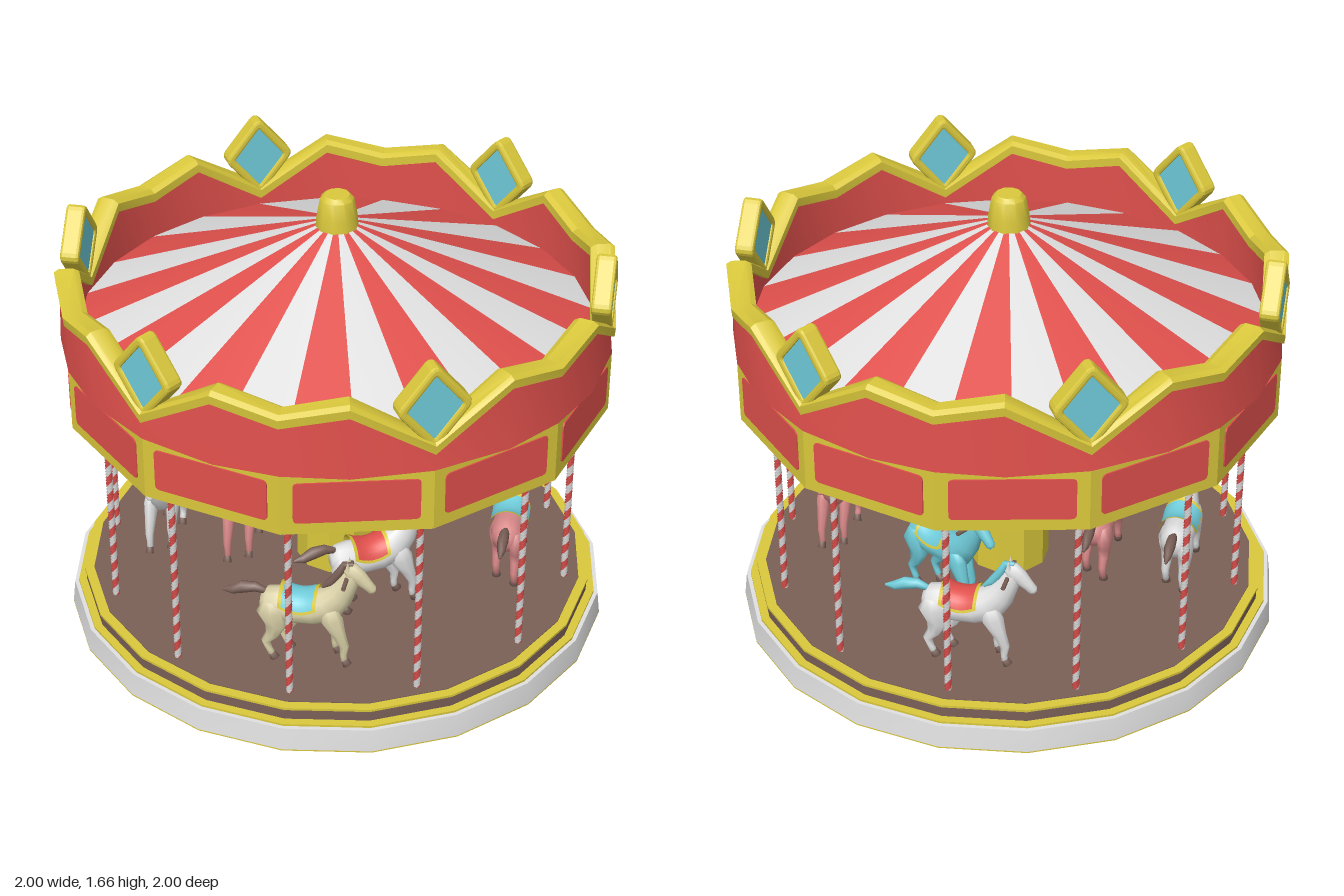
import * as THREE from 'three';
import { toCreasedNormals } from 'three/addons/utils/BufferGeometryUtils.js';

const mat = (name, color, side = THREE.FrontSide) => {
  const m = new THREE.MeshStandardMaterial({ color, side });
  m.name = name;
  return m;
};

export function createModel() {
  const D = THREE.DoubleSide;
  const red = mat('red', 0xe0504c, D), white = mat('white', 0xe0e0e0, D);
  const gold = mat('gold', 0xdac83c, D), cyan = mat('cyan', 0x6fcbd9, D);
  const brown = mat('brown', 0x7a6057), pink = mat('pink', 0xdc8b8b), cream = mat('cream', 0xdad1a8);

  const model = new THREE.Group();
  model.name = 'carousel';
  const add = (parent, name, geo, material, x = 0, y = 0, z = 0) => {
    const m = new THREE.Mesh(geo, material);
    m.name = name;
    m.position.set(x, y, z);
    parent.add(m);
    return m;
  };
  const drum = (name, rTop, rBottom, y0, y1, sides, material) =>
    add(model, name, toCreasedNormals(new THREE.CylinderGeometry(rTop, rBottom, y1 - y0, sides), 0.45), material, 0, (y0 + y1) / 2);

  // Tube of varying oval section along a path in the xy plane: rows of [x, y, depth radius, width radius]
  function loft(rows, sides = 10) {
    const pos = [], idx = [], n = rows.length;
    rows.forEach(([x, y, rn, rz = rn], i) => {
      const p = rows[Math.max(i - 1, 0)], q = rows[Math.min(i + 1, n - 1)];
      const len = Math.hypot(q[0] - p[0], q[1] - p[1]);
      const tx = (q[0] - p[0]) / len, ty = (q[1] - p[1]) / len;
      for (let j = 0; j < sides; j++) {
        const a = j / sides * Math.PI * 2, c = Math.cos(a) * rn;
        pos.push(x - ty * c, y + tx * c, Math.sin(a) * rz);
      }
    });
    const s = n * sides, e = s + 1, last = (n - 1) * sides;
    pos.push(rows[0][0], rows[0][1], 0, rows[n - 1][0], rows[n - 1][1], 0);
    for (let j = 0; j < sides; j++) {
      const k = (j + 1) % sides;
      for (let i = 0; i < n - 1; i++) {
        const a = i * sides + j, b = i * sides + k;
        idx.push(a, b, a + sides, b, b + sides, a + sides);
      }
      idx.push(s, k, j, e, last + j, last + k);
    }
    const g = new THREE.BufferGeometry();
    g.setAttribute('position', new THREE.Float32BufferAttribute(pos, 3));
    g.setIndex(idx);
    g.computeVertexNormals();
    return g;
  }

  // Closed ring: profile(height) gives [radius, y] corners, stations are [angle, height]
  function ring(stations, profile) {
    const pos = [], idx = [], m = stations.length;
    const n = profile(0).length;
    stations.forEach(([a, h]) => profile(h).forEach(([r, y]) => pos.push(r * Math.sin(a), y, r * Math.cos(a))));
    for (let j = 0; j < m; j++) for (let i = 0; i < n; i++) {
      const k = (j + 1) % m, i2 = (i + 1) % n;
      const a = j * n + i, b = k * n + i, c = j * n + i2, d = k * n + i2;
      idx.push(a, b, c, b, d, c);
    }
    const g = new THREE.BufferGeometry();
    g.setAttribute('position', new THREE.Float32BufferAttribute(pos, 3));
    g.setIndex(idx);
    return toCreasedNormals(g, 0.5);
  }

  // Platform
  drum('baseRim', 0.99, 1, 0.005, 0.09, 20, white);
  drum('baseUnderside', 1, 1, 0, 0.005, 20, gold);
  drum('baseTrim', 0.975, 0.975, 0.09, 0.098, 20, gold);
  drum('stepRiser', 0.945, 0.945, 0.098, 0.14, 20, brown);
  drum('floorTrim', 0.95, 0.95, 0.14, 0.149, 20, gold);
  drum('floor', 0.915, 0.915, 0.145, 0.152, 20, brown);
  drum('centreColumn', 0.15, 0.15, 0.15, 0.91, 10, gold);

  // Twelve-sided frieze with inset-looking rounded panels
  drum('frieze', 0.98, 0.98, 0.905, 1.135, 12, gold);
  const w = 0.21, h = 0.078, c = 0.018;
  const plate = new THREE.Shape();
  plate.moveTo(-w + c, -h).lineTo(w - c, -h).quadraticCurveTo(w, -h, w, -h + c);
  plate.lineTo(w, h - c).quadraticCurveTo(w, h, w - c, h);
  plate.lineTo(-w + c, h).quadraticCurveTo(-w, h, -w, h - c);
  plate.lineTo(-w, -h + c).quadraticCurveTo(-w, -h, -w + c, -h);
  const plateGeo = new THREE.ExtrudeGeometry(plate, { depth: 0.006, bevelEnabled: false, curveSegments: 4 });
  for (let i = 0; i < 12; i++) {
    const pivot = new THREE.Group();
    pivot.name = 'friezePanel';
    pivot.rotation.y = (i + 0.5) * Math.PI / 6;
    add(pivot, 'panel', plateGeo, red, 0, 1.028, 0.98 * Math.cos(Math.PI / 12) - 0.001);
    model.add(pivot);
  }

  // Zigzag crown and its trim: low point under each diamond, shallow dip between
  const stations = [];
  for (let i = 0; i < 6; i++) {
    [[0, 1.365], [13.5, 1.415], [30, 1.245], [46.5, 1.415]].forEach(([a, y]) =>
      stations.push([(i * 60 + a) * Math.PI / 180, y]));
  }
  add(model, 'crownWall', ring(stations, y => [[0.98, 1.135], [0.97, y - 0.02], [0.92, y - 0.02], [0.92, 1.135]]), red);
  add(model, 'crownTrim', ring(stations, y => [[0.985, y - 0.045], [0.988, y - 0.012], [0.97, y],
    [0.92, y], [0.9, y - 0.012], [0.9, y - 0.045]]), gold);

  // Diamonds
  const rhomb = (C, a, b) => {
    const s = new C(), k = 0.1;
    const p = [[a, 0], [0, b], [-a, 0], [0, -b]];
    p.forEach(([x, y], i) => {
      const [px, py] = p[(i + 3) % 4], [nx, ny] = p[(i + 1) % 4];
      const x0 = x + (px - x) * k, y0 = y + (py - y) * k;
      if (i) s.lineTo(x0, y0); else s.moveTo(x0, y0);
      s.quadraticCurveTo(x, y, x + (nx - x) * k, y + (ny - y) * k);
    });
    s.closePath();
    return s;
  };
  const frame = rhomb(THREE.Shape, 0.122, 0.147);
  frame.holes.push(rhomb(THREE.Path, 0.108, 0.132));
  const frameGeo = new THREE.ExtrudeGeometry(frame, { depth: 0.05, bevelThickness: 0.01, bevelSize: 0.01, bevelSegments: 2, curveSegments: 3 });
  const gemGeo = new THREE.ExtrudeGeometry(rhomb(THREE.Shape, 0.112, 0.136), { depth: 0.056, bevelEnabled: false, curveSegments: 3 });
  for (let i = 0; i < 6; i++) {
    const pivot = new THREE.Group();
    pivot.name = 'diamond';
    pivot.rotation.y = Math.PI / 6 + i * Math.PI / 3;
    add(pivot, 'diamondFrame', frameGeo, gold, 0, 1.37, 0.916);
    add(pivot, 'diamondPane', gemGeo, cyan, 0, 1.37, 0.913);
    model.add(pivot);
  }

  // Striped conical roof and finial
  const roof = new THREE.CylinderGeometry(0.05, 0.92, 0.385, 24, 1, true);
  roof.clearGroups();
  for (let i = 0; i < 24; i++) roof.addGroup(i * 6, 6, i % 2);
  add(model, 'roof', roof, [red, white], 0, 1.3575);
  const finial = [[0.076, 1.53], [0.072, 1.58], [0.06, 1.645], [0.045, 1.66], [0, 1.66]];
  add(model, 'finial', toCreasedNormals(new THREE.LatheGeometry(finial.map(p => new THREE.Vector2(...p)), 10), 0.7), gold);

  // Barber-striped poles: two twisted half cylinders
  const halfPole = start => {
    const g = new THREE.CylinderGeometry(0.0135, 0.0135, 0.76, 4, 60, true, start, Math.PI);
    const p = g.attributes.position, nrm = g.attributes.normal, v = new THREE.Vector3();
    const up = new THREE.Vector3(0, 1, 0);
    for (let i = 0; i < p.count; i++) {
      const turn = p.getY(i) / 0.76 * Math.PI * 20;
      v.fromBufferAttribute(p, i).applyAxisAngle(up, turn);
      p.setXYZ(i, v.x, v.y, v.z);
      v.fromBufferAttribute(nrm, i).applyAxisAngle(up, turn);
      nrm.setXYZ(i, v.x, v.y, v.z);
    }
    return g;
  };
  const redHalf = halfPole(0), whiteHalf = halfPole(Math.PI);
  for (let i = 0; i < 12; i++) {
    const a = i * Math.PI / 6, x = 0.86 * Math.sin(a), z = 0.86 * Math.cos(a);
    add(model, 'poleRedStripe', redHalf, red, x, 0.53, z);
    add(model, 'poleWhiteStripe', whiteHalf, white, x, 0.53, z);
  }

  // Horse parts, facing +x
  const torso = loft([[-0.145, 0.375, 0.025], [-0.125, 0.375, 0.056, 0.05], [-0.08, 0.372, 0.066, 0.06],
    [-0.02, 0.365, 0.06, 0.062], [0.04, 0.368, 0.062, 0.06], [0.095, 0.39, 0.068, 0.055], [0.135, 0.435, 0.052, 0.04],
    [0.165, 0.49, 0.038, 0.029], [0.185, 0.535, 0.03, 0.025], [0.192, 0.55, 0.012]], 12);
  const head = loft([[0.158, 0.555, 0.015], [0.175, 0.547, 0.034, 0.027], [0.205, 0.522, 0.03, 0.025],
    [0.235, 0.492, 0.021, 0.019], [0.252, 0.474, 0.018, 0.018], [0.26, 0.466, 0.008]]);
  const hind = loft([[-0.1, 0.4, 0.03, 0.02], [-0.1, 0.36, 0.056, 0.034], [-0.085, 0.3, 0.04, 0.026], [-0.1, 0.255, 0.024, 0.019],
    [-0.122, 0.225, 0.017, 0.015], [-0.11, 0.19, 0.012], [-0.1, 0.17, 0.013]], 8);
  const hindHoof = loft([[-0.102, 0.175, 0.013], [-0.09, 0.153, 0.019, 0.017]], 8);
  const fore = loft([[0.09, 0.39, 0.03, 0.02], [0.1, 0.35, 0.042, 0.028], [0.125, 0.29, 0.026, 0.021], [0.145, 0.24, 0.018, 0.016],
    [0.142, 0.2, 0.012], [0.145, 0.178, 0.013]], 8);
  const foreHoof = loft([[0.144, 0.182, 0.013], [0.156, 0.16, 0.018, 0.016]], 8);
  const ear = new THREE.ConeGeometry(0.011, 0.04, 6);
  const mane = loft([[0.075, 0.462, 0.006], [0.105, 0.487, 0.016, 0.012], [0.135, 0.53, 0.016, 0.012],
    [0.155, 0.568, 0.014, 0.012], [0.185, 0.572, 0.008]], 8);
  const tail = loft([[-0.125, 0.415, 0.01], [-0.165, 0.428, 0.018], [-0.21, 0.422, 0.024, 0.02],
    [-0.25, 0.405, 0.018, 0.014], [-0.285, 0.402, 0.004]], 8);
  const handle = new THREE.CylinderGeometry(0.008, 0.008, 0.165, 8).rotateX(Math.PI / 2);
  // Saddle: arched sheet, raised at both ends
  const saddleSheet = (r, len, arc) => {
    const g = new THREE.CylinderGeometry(r, r, len, 12, 6, true, -arc / 2, arc);
    g.rotateX(-Math.PI / 2).rotateY(Math.PI / 2);
    const p = g.attributes.position;
    for (let i = 0; i < p.count; i++) p.setY(i, p.getY(i) + 5 * p.getX(i) ** 2);
    g.computeVertexNormals();
    return g;
  };
  const saddle = saddleSheet(0.072, 0.11, 2.5), saddleTrim = saddleSheet(0.069, 0.135, 2.85);

  function addHorse(deg, r, coat, hair, seat) {
    const pivot = new THREE.Group(), horse = new THREE.Group();
    pivot.name = 'horsePivot';
    horse.name = 'horse';
    pivot.rotation.y = deg * Math.PI / 180;
    horse.position.z = r;
    pivot.add(horse);
    model.add(pivot);
    add(horse, 'torso', torso, coat);
    add(horse, 'head', head, coat);
    add(horse, 'mane', mane, hair);
    add(horse, 'tail', tail, hair);
    add(horse, 'handle', handle, brown, 0.165, 0.522, 0);
    add(horse, 'saddleTrim', saddleTrim, gold, -0.005, 0.367, 0);
    add(horse, 'saddle', saddle, seat, -0.005, 0.367, 0);
    for (const s of [-1, 1]) {
      const hx = s > 0 ? 0 : 0.075, fx = s > 0 ? 0.015 : -0.03, z = s * 0.036;
      add(horse, 'ear', ear, coat, 0.168, 0.572, s * 0.016);
      add(horse, 'hindLeg', hind, coat, hx * 0.6, 0, z);
      add(horse, 'hindHoof', hindHoof, brown, hx * 0.6, 0, z);
      add(horse, 'foreLeg', fore, coat, fx, 0, z);
      add(horse, 'foreHoof', foreHoof, brown, fx, 0, z);
    }
  }
  addHorse(0, 0.65, cream, brown, cyan);
  addHorse(90, 0.65, pink, brown, cyan);
  addHorse(180, 0.65, white, cyan, red);
  addHorse(270, 0.65, white, brown, cyan);
  addHorse(30, 0.35, white, brown, red);
  addHorse(150, 0.35, cyan, brown, cyan);
  addHorse(270, 0.35, pink, brown, cyan);

  return model;
}
